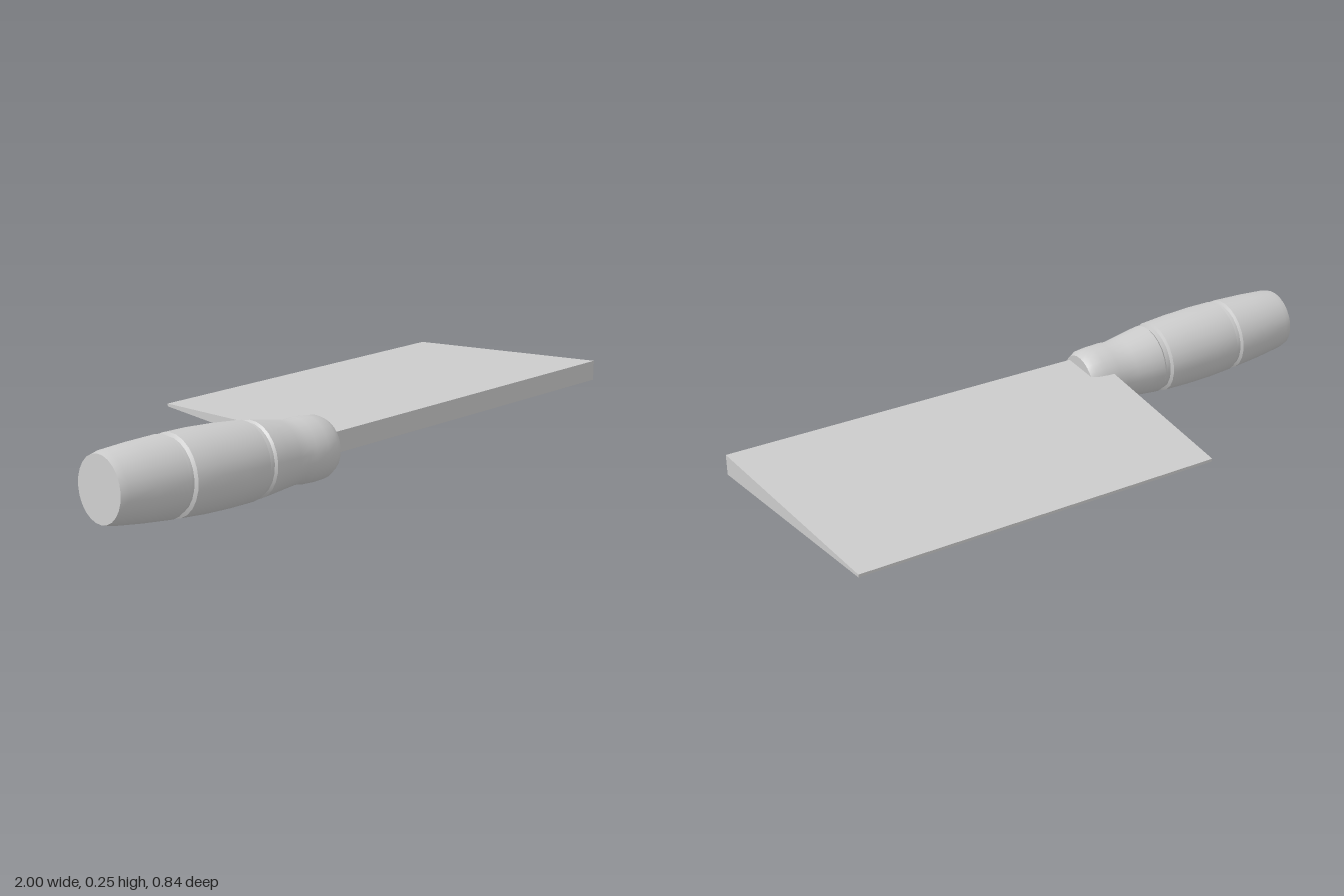
import * as THREE from 'three';
import { toCreasedNormals } from 'three/addons/utils/BufferGeometryUtils.js';

export function createModel() {
  const group = new THREE.Group();
  const material = new THREE.MeshStandardMaterial({ color: 0xcccccc });

  function add(name, geometry) {
    const mesh = new THREE.Mesh(geometry, material);
    mesh.name = name;
    group.add(mesh);
    return mesh;
  }

  // Blade: a box bent into a wedge, thick along the spine and thin at the cutting edge
  const spine = { left: [-0.297, 0.288], right: [0.98, 0.417], top: 0.156 };
  const edge = { left: [-0.175, -0.422], right: [0.997, -0.308], top: 0.1 };
  const bladeGeometry = new THREE.BoxGeometry(1, 1, 1);
  const p = bladeGeometry.attributes.position;
  for (let i = 0; i < p.count; i++) {
    const side = p.getZ(i) > 0 ? spine : edge;
    const [x, z] = p.getX(i) > 0 ? side.right : side.left;
    p.setXYZ(i, x, p.getY(i) > 0 ? side.top : 0.091, z);
  }
  bladeGeometry.computeVertexNormals();
  add('blade', bladeGeometry);

  // Handle: turned grip with two grooves and a collar, as [radius, distance from butt]
  const profile = [
    [0, 0], [0.096, 0], [0.102, 0.022], [0.111, 0.11], [0.118, 0.213],
    [0.109, 0.219], [0.109, 0.232], [0.119, 0.238],
    [0.122, 0.32], [0.121, 0.41], [0.117, 0.494],
    [0.107, 0.5], [0.107, 0.516], [0.113, 0.523],
    [0.107, 0.57], [0.1, 0.62], [0.095, 0.658],
    [0.098, 0.685], [0.098, 0.73], [0.095, 0.765], [0.085, 0.785], [0, 0.785],
  ].map(([r, t]) => new THREE.Vector2(r, t));
  const butt = new THREE.Vector3(-0.986, 0.145, 0.141);
  const front = new THREE.Vector3(-0.21, 0.103, 0.241);
  const handle = add('handle', toCreasedNormals(new THREE.LatheGeometry(profile, 24), 0.5));
  handle.position.copy(butt);
  handle.quaternion.setFromUnitVectors(
    new THREE.Vector3(0, 1, 0),
    front.clone().sub(butt).normalize(),
  );

  return group;
}
